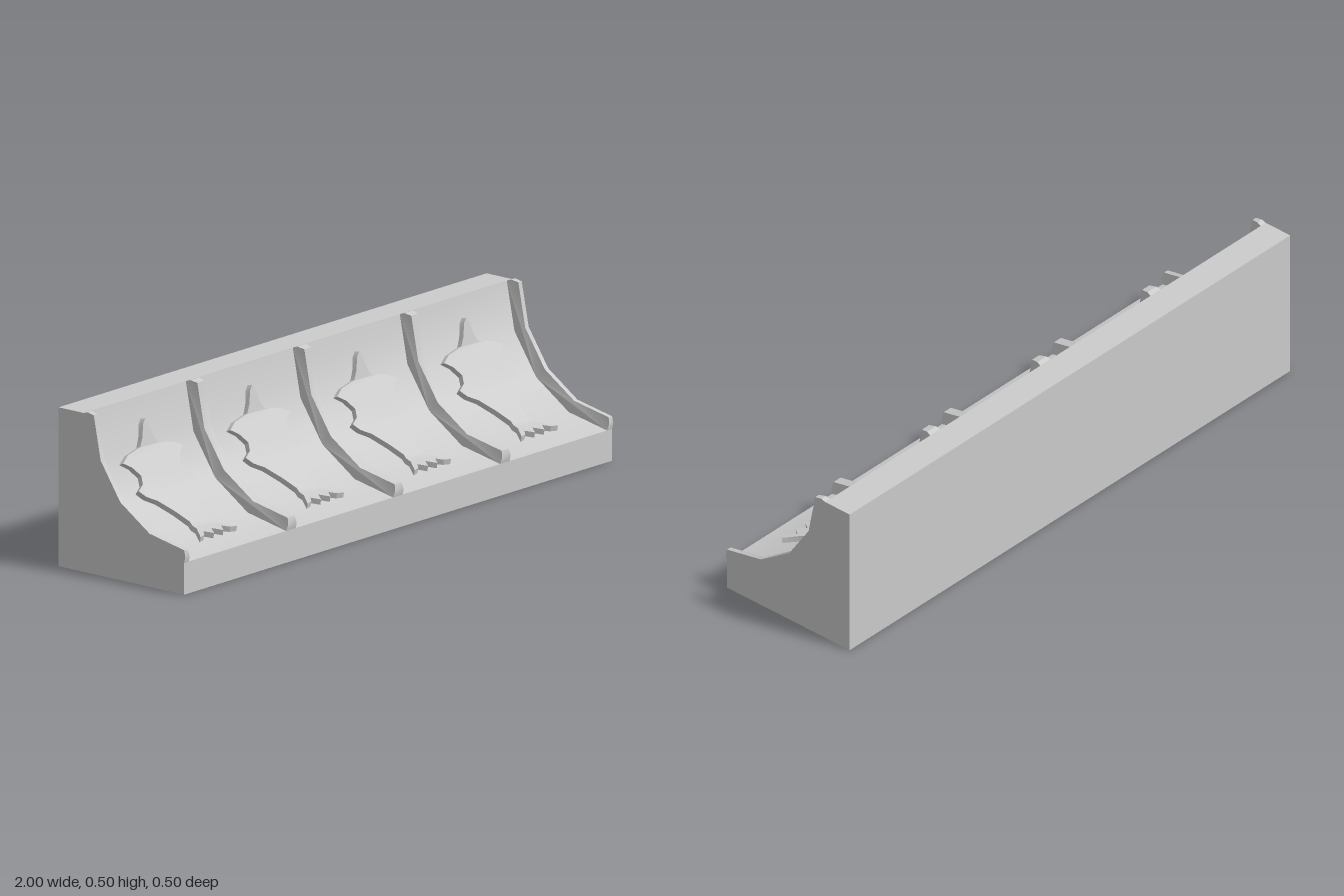
import * as THREE from 'three';
import { mergeGeometries, toCreasedNormals } from 'three/addons/utils/BufferGeometryUtils.js';

const STEP = 22.5; // the cove is a quarter circle in four facets

// point of the faceted cove: angle in degrees from the front lip, radius from the hollow's centre
function covePoint(angle, r) {
  const k = Math.min(3, Math.floor(angle / STEP + 1e-6));
  const f = angle / STEP - k;
  const a = THREE.MathUtils.degToRad(k * STEP), b = THREE.MathUtils.degToRad((k + 1) * STEP);
  const s = Math.sin(a) * (1 - f) + Math.sin(b) * f;
  const c = Math.cos(a) * (1 - f) + Math.cos(b) * f;
  return new THREE.Vector2(0.25 - r * s, 0.5 - r * c); // (z, y)
}
const coveArc = (r) => [0, 1, 2, 3, 4].map((k) => covePoint(k * STEP, r));

// side profile (z, y) extruded along x, centred
function sideExtrude(points, width) {
  const g = new THREE.ExtrudeGeometry(new THREE.Shape(points), { depth: width, bevelEnabled: false });
  return g.translate(0, 0, -width / 2).rotateY(-Math.PI / 2);
}

function blockGeometry() {
  const p = [[-0.25, 0], [0.25, 0]].map((q) => new THREE.Vector2(...q));
  return toCreasedNormals(sideExtrude([...p, ...coveArc(0.4), new THREE.Vector2(-0.25, 0.5)], 2), 0.5);
}

// tapered rib following the cove; end ribs are cut off at the block's ends
function ribGeometry(cx) {
  const pts = [
    ...coveArc(0.4).reverse(),
    new THREE.Vector2(0.255, 0.12),
    ...coveArc(0.36),
    new THREE.Vector2(-0.135, 0.505),
  ];
  const g = sideExtrude(pts, 2);
  const pos = g.attributes.position;
  for (let i = 0; i < pos.count; i++) {
    const r = Math.hypot(0.25 - pos.getZ(i), 0.5 - pos.getY(i));
    const half = THREE.MathUtils.mapLinear(r, 0.36, 0.4, 0.016, 0.023);
    pos.setX(i, THREE.MathUtils.clamp(cx + Math.sign(pos.getX(i)) * half, -1, 1));
  }
  return toCreasedNormals(g, 0.5);
}

// half outline of the ornament: x, angle along the cove
const HALF = [
  [0, 80], [0.012, 78], [0.024, 72], [0.04, 68], [0.07, 67], [0.105, 66], [0.14, 63],
  [0.112, 60], [0.09, 55], [0.1, 51], [0.13, 48.5], [0.11, 45], [0.082, 41], [0.055, 33],
  [0.036, 25], [0.046, 19], [0.085, 11.5], [0.06, 12.5], [0.042, 15.5], [0.022, 11.5], [0, 16],
];

// keep the part of a polygon on one side of an angle
function clip(poly, limit, sign) {
  const out = [];
  poly.forEach((p, i) => {
    const q = poly[(i + 1) % poly.length];
    const dp = sign * (p[1] - limit), dq = sign * (q[1] - limit);
    if (dp >= 0) out.push(p);
    if (dp * dq < 0) {
      const t = dp / (dp - dq);
      out.push([p[0] + (q[0] - p[0]) * t, limit]);
    }
  });
  return out;
}

// raised star-headed ornament, one slab per cove facet
function ornamentGeometry() {
  const left = HALF.slice(1, -1).reverse().map(([x, a]) => [-x, a]);
  const outline = [...HALF, ...left].reverse();
  const slabs = [];
  for (let k = 0; k < 4; k++) {
    const part = clip(clip(outline, k * STEP, 1), (k + 1) * STEP, -1);
    if (part.length < 3) continue;
    // angles are scaled down so the shape is near its true proportions
    const shape = new THREE.Shape(part.map(([x, a]) => new THREE.Vector2(x, a / 150)));
    const g = new THREE.ExtrudeGeometry(shape, { depth: 1, bevelEnabled: false });
    const pos = g.attributes.position;
    for (let i = 0; i < pos.count; i++) {
      const p = covePoint(pos.getY(i) * 150, 0.403 - 0.021 * pos.getZ(i));
      pos.setXYZ(i, pos.getX(i), p.y, p.x);
    }
    slabs.push(g);
  }
  return toCreasedNormals(mergeGeometries(slabs), 0.5);
}

export function createModel() {
  const model = new THREE.Group();
  model.name = 'coveMoulding';
  const material = new THREE.MeshStandardMaterial({ color: 0xcccccc });
  const add = (name, geometry, x = 0) => {
    const mesh = new THREE.Mesh(geometry, material);
    mesh.name = name;
    mesh.position.x = x;
    model.add(mesh);
  };

  add('block', blockGeometry());
  [-1, -0.5, 0, 0.5, 1].forEach((x, i) => add('rib' + (i + 1), ribGeometry(x)));
  const ornament = ornamentGeometry();
  [-0.75, -0.25, 0.25, 0.75].forEach((x, i) => add('ornament' + (i + 1), ornament, x));
  return model;
}
